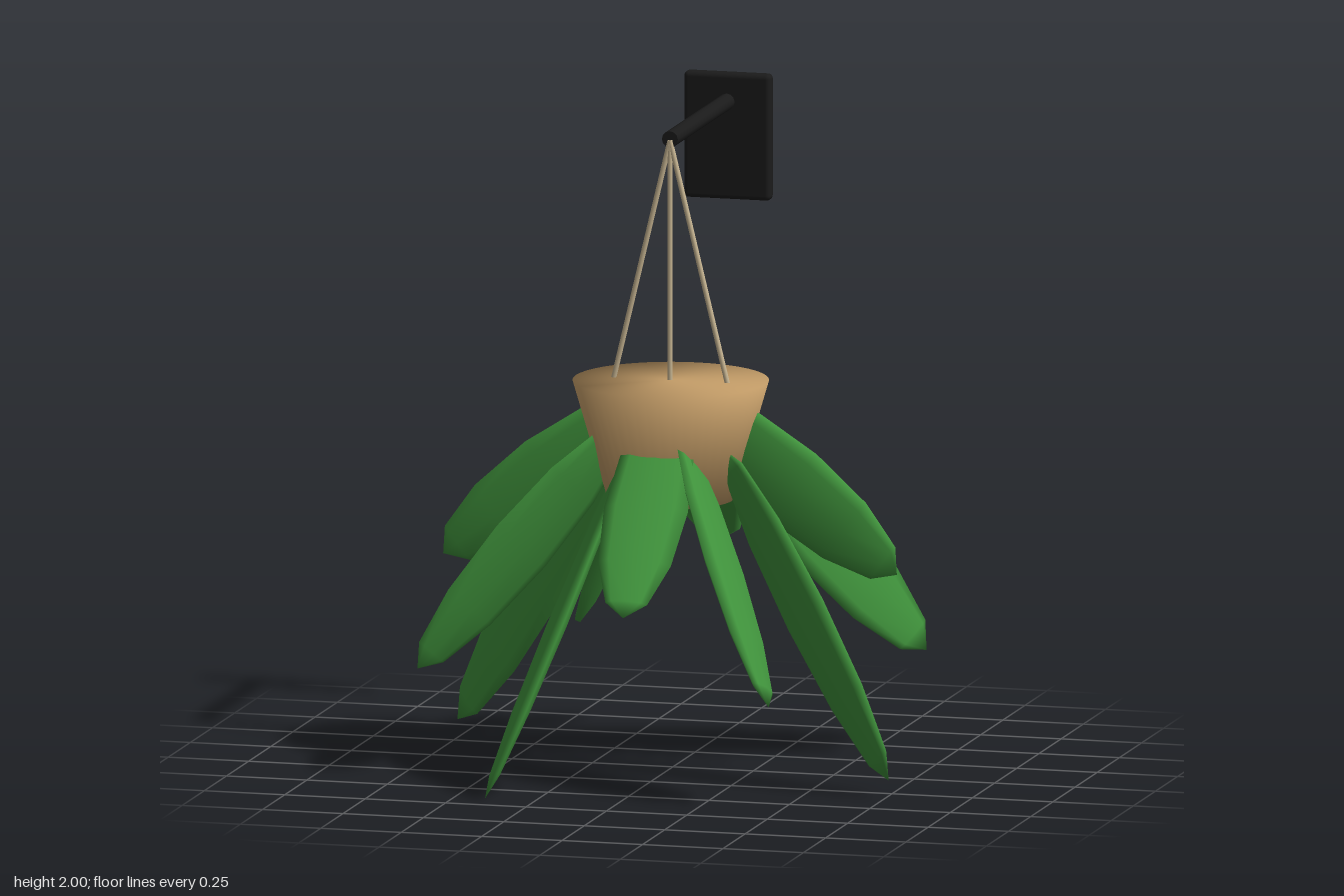
import * as THREE from 'three';
import { RoundedBoxGeometry } from 'three/addons/geometries/RoundedBoxGeometry.js';

const UP = new THREE.Vector3(0, 1, 0);
const v = (x, y, z) => new THREE.Vector3(x, y, z);

function makeMaterial(name, color) {
  const m = new THREE.MeshStandardMaterial({ color });
  m.name = name;
  return m;
}

export function createModel() {
  const model = new THREE.Group();
  model.name = 'hangingPlant';
  const black = makeMaterial('black metal', 0x1b1b1b);
  const tan = makeMaterial('tan pot', 0xc49d68);
  const cord = makeMaterial('beige cord', 0xc8b693);
  const green = makeMaterial('leaf green', 0x40933c);

  function add(name, geometry, material) {
    const mesh = new THREE.Mesh(geometry, material);
    mesh.name = name;
    model.add(mesh);
    return mesh;
  }

  // Round bar between two points
  function rod(name, a, b, radius, material) {
    const dir = b.clone().sub(a);
    const mesh = add(name, new THREE.CylinderGeometry(radius, radius, dir.length(), 12), material);
    mesh.position.copy(a).add(b).multiplyScalar(0.5);
    mesh.quaternion.setFromUnitVectors(UP, dir.normalize());
  }

  // Wall plate and arm
  add('wallPlate', new RoundedBoxGeometry(0.27, 0.385, 0.045, 3, 0.015), black)
    .position.set(-0.008, 1.8075, -0.657);
  rod('arm', v(-0.008, 1.913, -0.65), v(-0.008, 1.913, 0.005), 0.025, black);

  // Three cords from the end of the arm to the pot
  for (const x of [-0.185, -0.008, 0.172]) {
    rod('cord', v(-0.008, 1.91, 0.003), v(x, 1.17, 0.003), 0.008, cord);
  }

  // Closed tapered pot with softly shaded rims
  const profile = [[0, 0.82], [0.19, 0.82], [0.295, 1.18], [0, 1.18]]
    .map(([r, y]) => new THREE.Vector2(r, y));
  add('pot', new THREE.LatheGeometry(profile, 48), tan).position.set(-0.006, 0, 0.002);

  // Leaves come in three sizes: [full length, half width]
  const short = [0.83, 0.128], medium = [0.96, 0.13], long = [1.13, 0.128];
  // Point on the pot, tip, size; in order around the pot
  const leaves = [
    [v(0.22, 0.99, 0.00), v(0.697, 0.62, 0.003), short],
    [v(0.22, 0.92, 0.095), v(0.755, 0.05, 0.305), long],
    [v(0.13, 0.92, 0.21), v(0.46, 0.31, 0.59), medium],
    [v(0.01, 0.965, 0.23), v(0.03, 0.575, 0.672), short],
    [v(-0.11, 0.92, 0.21), v(-0.405, 0.00, 0.65), long],
    [v(-0.21, 0.95, 0.11), v(-0.695, 0.33, 0.36), medium],
    [v(-0.22, 0.99, 0.005), v(-0.708, 0.62, 0.022), short],
    [v(-0.22, 0.92, -0.11), v(-0.758, 0.05, -0.32), long],
    [v(-0.13, 0.92, -0.21), v(-0.455, 0.31, -0.605), medium],
    [v(-0.01, 0.965, -0.23), v(-0.03, 0.575, -0.665), short],
    [v(0.125, 0.92, -0.19), v(0.425, 0.00, -0.625), long],
    [v(0.21, 0.95, -0.10), v(0.695, 0.33, -0.34), medium],
  ];
  for (const [base, tip, [length, halfWidth]] of leaves) {
    const dir = tip.clone().sub(base).normalize();
    const blade = new THREE.SphereGeometry(1, 8, 6).scale(halfWidth, length / 2, 0.025);
    const leaf = add('leaf', blade, green);
    leaf.position.copy(tip).addScaledVector(dir, -length / 2);
    leaf.quaternion.setFromUnitVectors(UP, dir);
  }
  return model;
}
